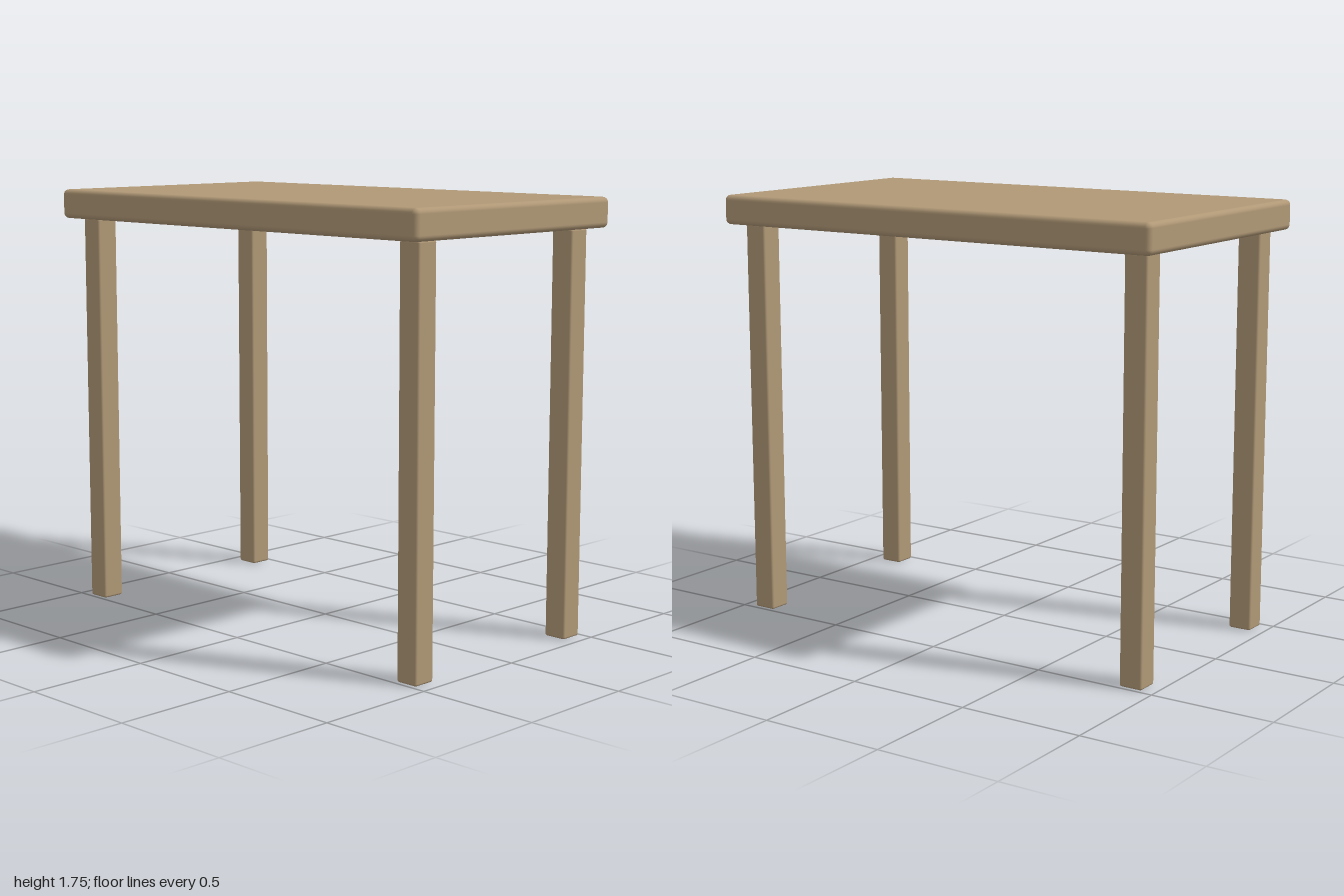
import * as THREE from 'three';
import { RoundedBoxGeometry } from 'three/addons/geometries/RoundedBoxGeometry.js';

export function createModel() {
  const table = new THREE.Group();
  table.name = 'table';
  const wood = new THREE.MeshStandardMaterial({ color: 0xb09876 });

  // Softly rounded wooden block resting at height y
  const addBlock = (name, [w, h, d], radius, x, y, z) => {
    const mesh = new THREE.Mesh(new RoundedBoxGeometry(w, h, d, 3, radius), wood);
    mesh.name = name;
    mesh.position.set(x, y + h / 2, z);
    table.add(mesh);
  };

  // Table top
  addBlock('tableTop', [2, 0.12, 1.12], 0.022, 0, 1.63, 0);

  // Four square legs, inset from the corners
  for (const [side, sx] of [['Left', 1], ['Right', -1]]) {
    for (const [end, sz] of [['front', 1], ['back', -1]]) {
      addBlock(`${end}${side}Leg`, [0.096, 1.63, 0.096], 0.009, sx * 0.9, 0, sz * 0.438);
    }
  }
  return table;
}
